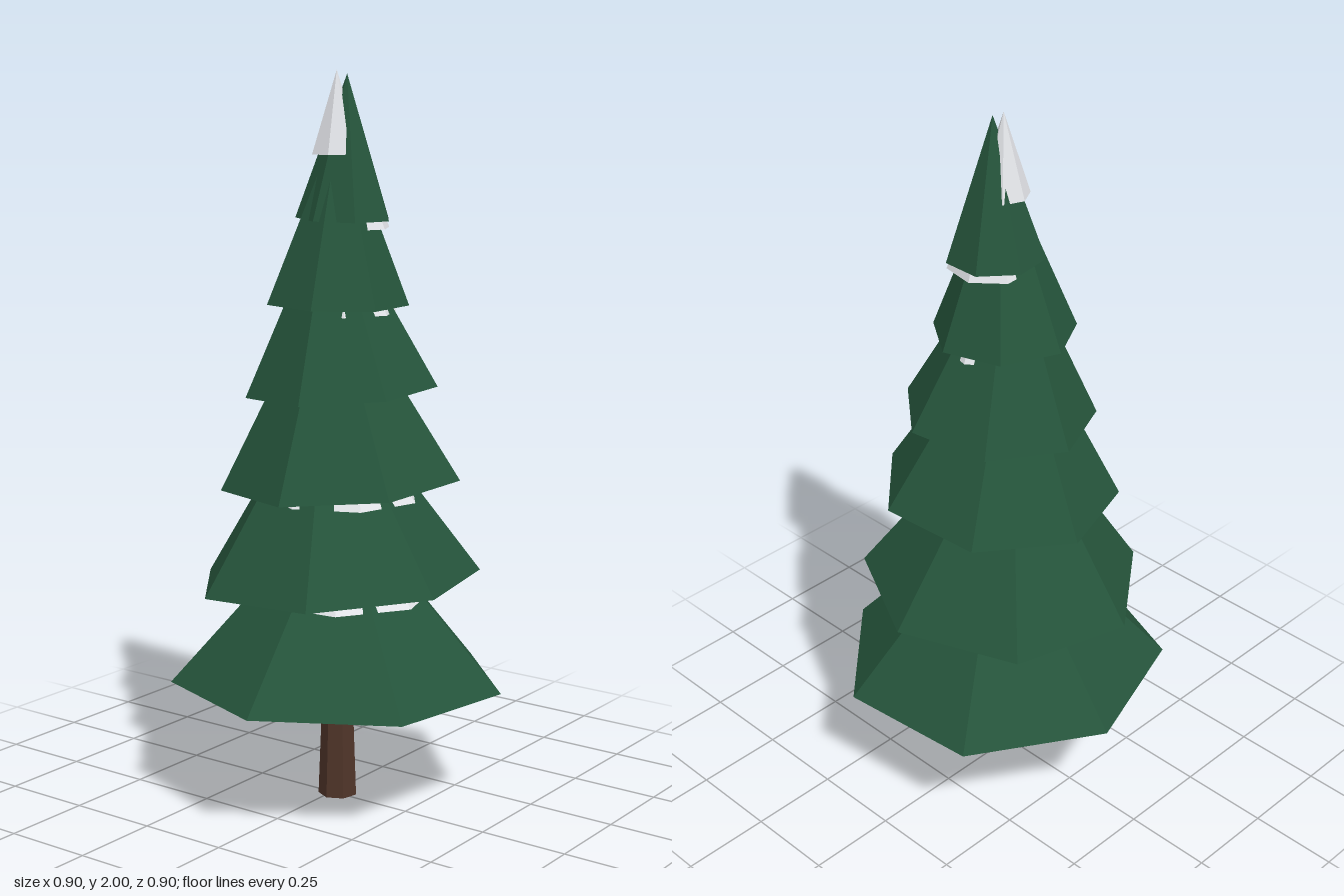
import * as THREE from 'three';

const SIDES = 7;

// Per tier: base centre x, y, z, radius, height, turn, and small tilts about x and z
const TIERS = [
  [0.01, 0.335, -0.015, 0.465, 0.52, 5.6, -0.02, 0],
  [0.0, 0.62, -0.023, 0.397, 0.58, 24.5, 0.015, 0.05],
  [0.023, 0.9, -0.014, 0.332, 0.58, 6.4, 0.045, 0.04],
  [0.016, 1.15, -0.021, 0.265, 0.52, 11, 0.045, 0.04],
  [0.016, 1.385, 0, 0.195, 0.49, 16, 0, -0.02],
  [0.022, 1.61, -0.026, 0.131, 0.38, -3, 0.01, -0.03],
];

// Snow resting on each tier, mostly tucked under the tier above
const SNOW = [
  [0.025, 0.58, -0.02, 0.25, 0.28, 31, 0, 0],
  [0.025, 0.855, -0.015, 0.217, 0.31, 49, 0, 0],
  [0.012, 1.12, -0.014, 0.182, 0.31, 32, 0, 0],
  [0.022, 1.36, -0.024, 0.146, 0.28, 36, 0, 0],
  [0.03, 1.585, -0.034, 0.115, 0.26, 41, 0, 0],
  [0.012, 1.78, -0.005, 0.069, 0.22, 17, 0, 0],
];

export function createModel() {
  const material = (name, color) => {
    const m = new THREE.MeshStandardMaterial({ color, flatShading: true });
    m.name = name;
    return m;
  };
  const bark = material('bark', 0x4f3429);
  const needles = material('needles', 0x25543b);
  const snow = material('snow', 0xe6e8ec);

  const tree = new THREE.Group();
  tree.name = 'snowyPine';

  // A slightly turned and tilted low-poly cone standing on its base centre
  const addCone = (name, mat, [x, y, z, radius, height, turn, tiltX, tiltZ]) => {
    const geometry = new THREE.ConeGeometry(radius, height, SIDES);
    geometry.translate(0, height / 2, 0);
    const mesh = new THREE.Mesh(geometry, mat);
    mesh.name = name;
    mesh.position.set(x, y, z);
    mesh.rotation.set(tiltX, THREE.MathUtils.degToRad(turn), tiltZ, 'ZXY');
    tree.add(mesh);
  };

  // Tapered trunk
  const trunk = new THREE.Mesh(new THREE.CylinderGeometry(0.038, 0.055, 0.45, SIDES), bark);
  trunk.name = 'trunk';
  trunk.position.set(0.014, 0.225, -0.01);
  tree.add(trunk);

  // Branch tiers and their snow
  TIERS.forEach((tier, i) => addCone(`branchTier${i + 1}`, needles, tier));
  SNOW.forEach((cap, i) => addCone(`snowCap${i + 1}`, snow, cap));

  return tree;
}
